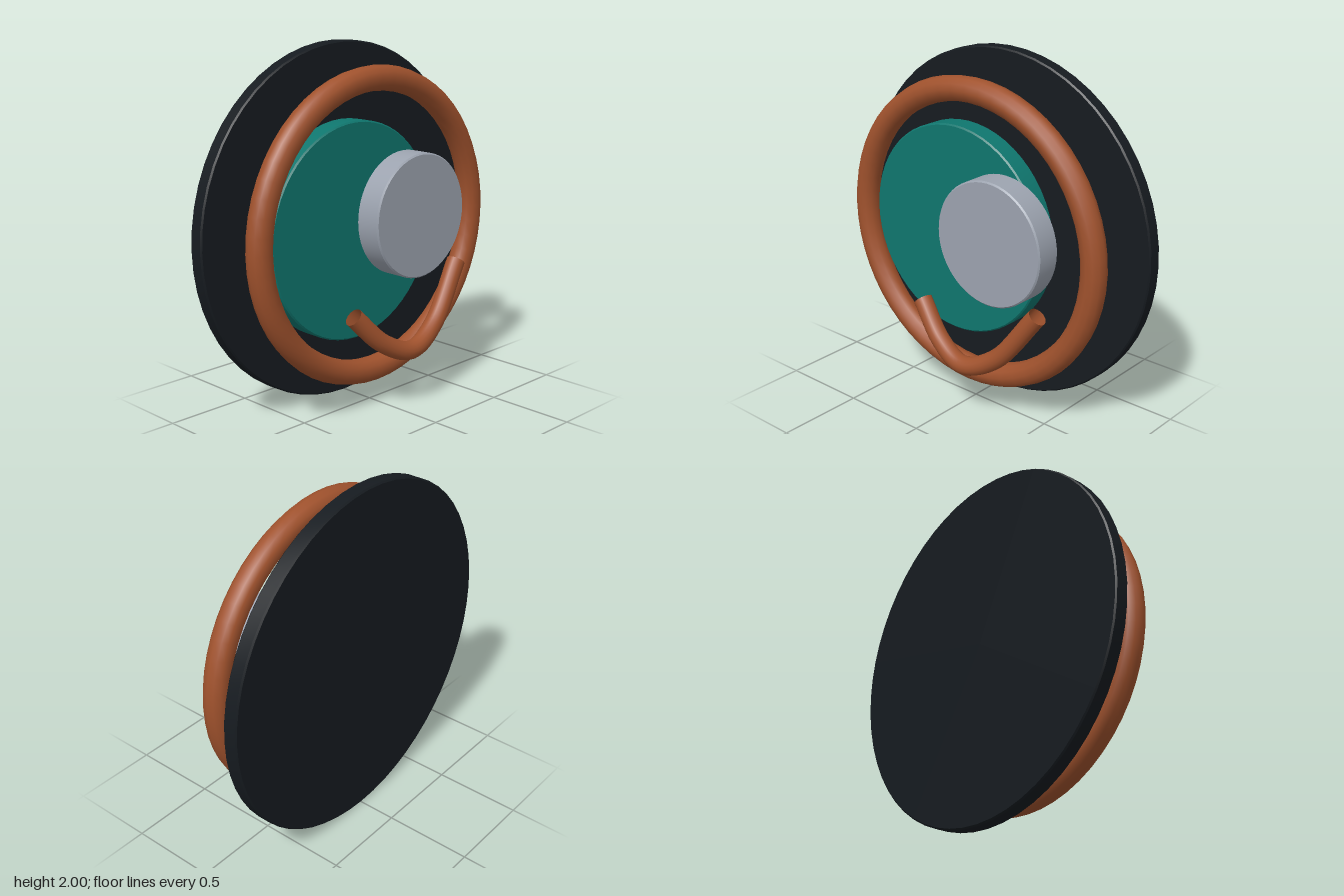
import * as THREE from 'three';
import { toCreasedNormals } from 'three/addons/utils/BufferGeometryUtils.js';

const material = (color, side = THREE.FrontSide) =>
  new THREE.MeshStandardMaterial({ color, side });

// Upright disc with slightly softened rims, spanning zBack to zFront
function disc(name, radius, x, y, zBack, zFront, color) {
  const depth = zFront - zBack;
  const b = 0.008;
  const profile = [
    [0, 0], [radius - b, 0], [radius, b],
    [radius, depth - b], [radius - b, depth], [0, depth],
  ].map(([r, h]) => new THREE.Vector2(r, h));
  const geometry = toCreasedNormals(new THREE.LatheGeometry(profile, 56), 0.5);
  geometry.rotateX(Math.PI / 2);
  const mesh = new THREE.Mesh(geometry, material(color));
  mesh.name = name;
  mesh.position.set(x, y, zBack);
  return mesh;
}

export function createModel() {
  const model = new THREE.Group();
  model.name = 'layeredDiscs';
  const copper = 0xa0522d;

  // Stacked discs from back to front
  model.add(
    disc('backPlate', 1, 0, 1, -0.282, -0.197, 0x161b20),
    disc('largeDisc', 0.6, -0.13, 1, -0.093, 0.03, 0x0f766e),
    disc('smallDisc', 0.35, 0.23, 1.05, 0.025, 0.178, 0x9ca3af),
  );

  // Ring standing in front of the back plate
  const ring = new THREE.Mesh(new THREE.TorusGeometry(0.812, 0.07, 12, 56), material(copper));
  ring.name = 'ring';
  ring.position.set(0, 1.003, 0.029);
  model.add(ring);

  // Curved open-ended pipe bulging forward at its lowest point
  const path = new THREE.CatmullRomCurve3([
    [-0.27, 0.575, 0.147],
    [-0.09, 0.395, 0.195],
    [0.1, 0.32, 0.225],
    [0.31, 0.415, 0.2],
    [0.555, 0.73, 0.153],
  ].map((p) => new THREE.Vector3(...p)));
  const pipe = new THREE.Mesh(
    new THREE.TubeGeometry(path, 40, 0.053, 16, false),
    material(copper, THREE.DoubleSide),
  );
  pipe.name = 'curvedPipe';
  model.add(pipe);

  return model;
}
